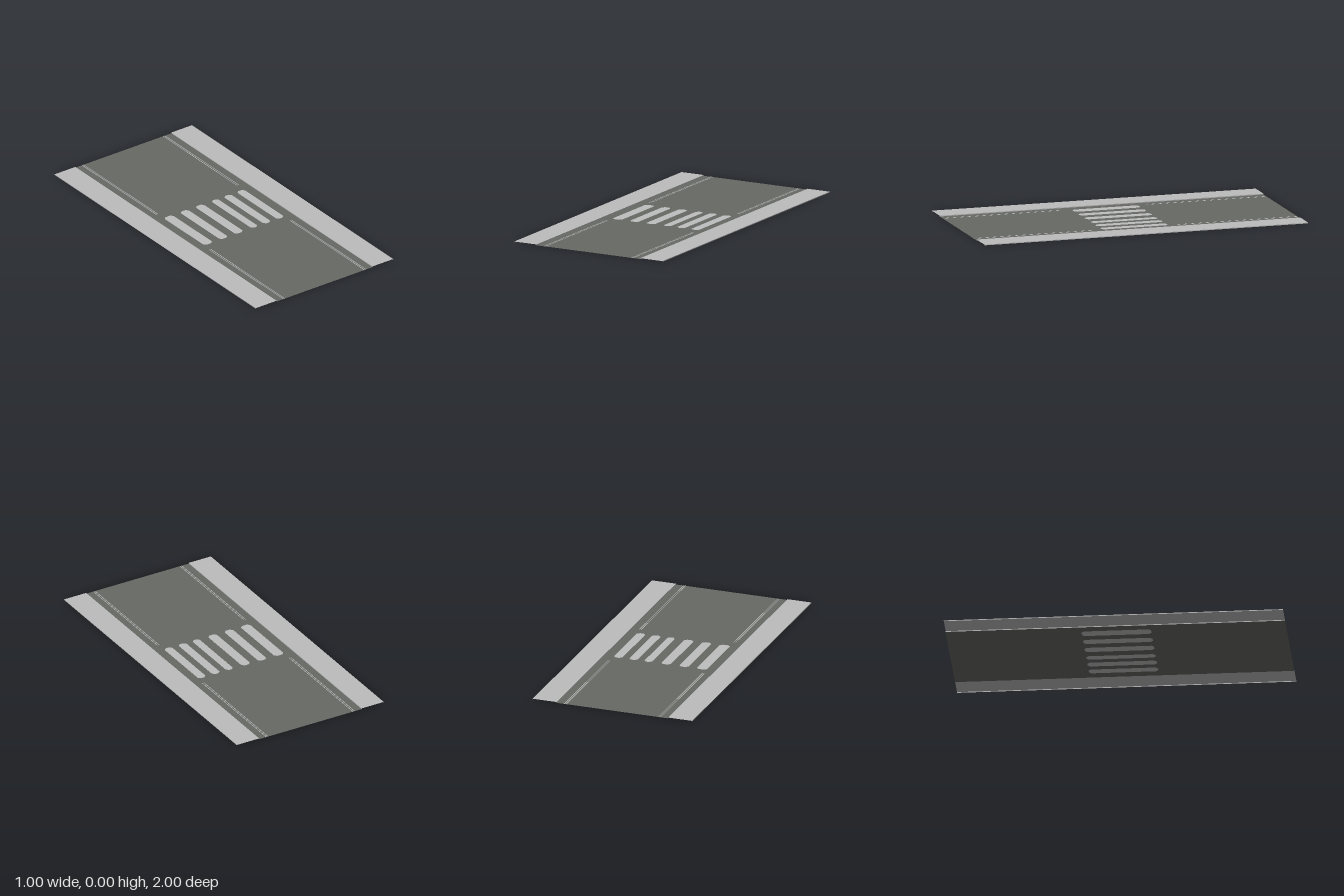
import * as THREE from 'three';

const CURB = 0.005; // kerb height
const mat = (name, color) => new THREE.MeshStandardMaterial({ name, color, side: THREE.DoubleSide });

export function createModel() {
  const group = new THREE.Group();
  const asphalt = mat('asphalt', 0x676965);
  const concrete = mat('concrete', 0xbcbcbc);
  const paint = mat('roadPaint', 0xbebebe);

  const add = (name, geometry, material, parent = group) => {
    const mesh = new THREE.Mesh(geometry, material);
    mesh.name = name;
    parent.add(mesh);
    return mesh;
  };
  // Flat shape drawn in x and z, facing up
  const flat = (shape) => new THREE.ShapeGeometry(shape).rotateX(-Math.PI / 2);
  const polygon = (points) => points.map(([x, y]) => new THREE.Vector2(x, y));

  // Crossing stripes with clipped corners, set flush into the road
  const stripes = [[-0.292, -0.228], [-0.175, -0.117], [-0.064, -0.005],
    [0.053, 0.101], [0.143, 0.196], [0.239, 0.292]];
  const road = new THREE.Shape(polygon([[-0.35, -1], [0.35, -1], [0.35, 1], [-0.35, 1]]));
  const crossing = new THREE.Group();
  crossing.name = 'crossing';
  group.add(crossing);
  const end = 0.205, clip = 0.015;
  for (const [a, b] of stripes) {
    const outline = polygon([
      [a + clip, -end], [b - clip, -end], [b, clip - end], [b, end - clip],
      [b - clip, end], [a + clip, end], [a, end - clip], [a, clip - end],
    ]);
    road.holes.push(new THREE.Path(outline));
    add('crossingStripe', flat(new THREE.Shape(outline)), paint, crossing);
  }
  add('road', flat(road), asphalt);

  for (const side of [-1, 1]) {
    // Double edge lines, broken at the crossing
    for (const zSide of [-1, 1]) {
      for (const x of [0.29, 0.301]) {
        const line = new THREE.PlaneGeometry(0.004, 0.74).rotateX(-Math.PI / 2);
        add('edgeLine', line, paint).position.set(side * x, 0.0004, zSide * 0.63);
      }
    }

    // Pavement: thin top with kerb walls on both long sides
    const pavement = new THREE.Group();
    pavement.name = side < 0 ? 'rightPavement' : 'leftPavement';
    group.add(pavement);
    const top = new THREE.PlaneGeometry(0.15, 2).rotateX(-Math.PI / 2);
    add('pavementTop', top, concrete, pavement).position.set(side * 0.425, CURB, 0);
    for (const x of [0.35, 0.5]) {
      const wall = new THREE.PlaneGeometry(2, CURB).rotateY(x > 0.4 ? side * Math.PI / 2 : -side * Math.PI / 2);
      add('kerb', wall, concrete, pavement).position.set(side * x, CURB / 2, 0);
    }
  }

  // Cross walls beneath the right pavement
  for (const z of [-0.85, -0.15, 0.15, 0.85]) {
    add('crossWall', new THREE.PlaneGeometry(0.15, CURB), concrete).position.set(-0.425, CURB / 2, z);
  }
  return group;
}
